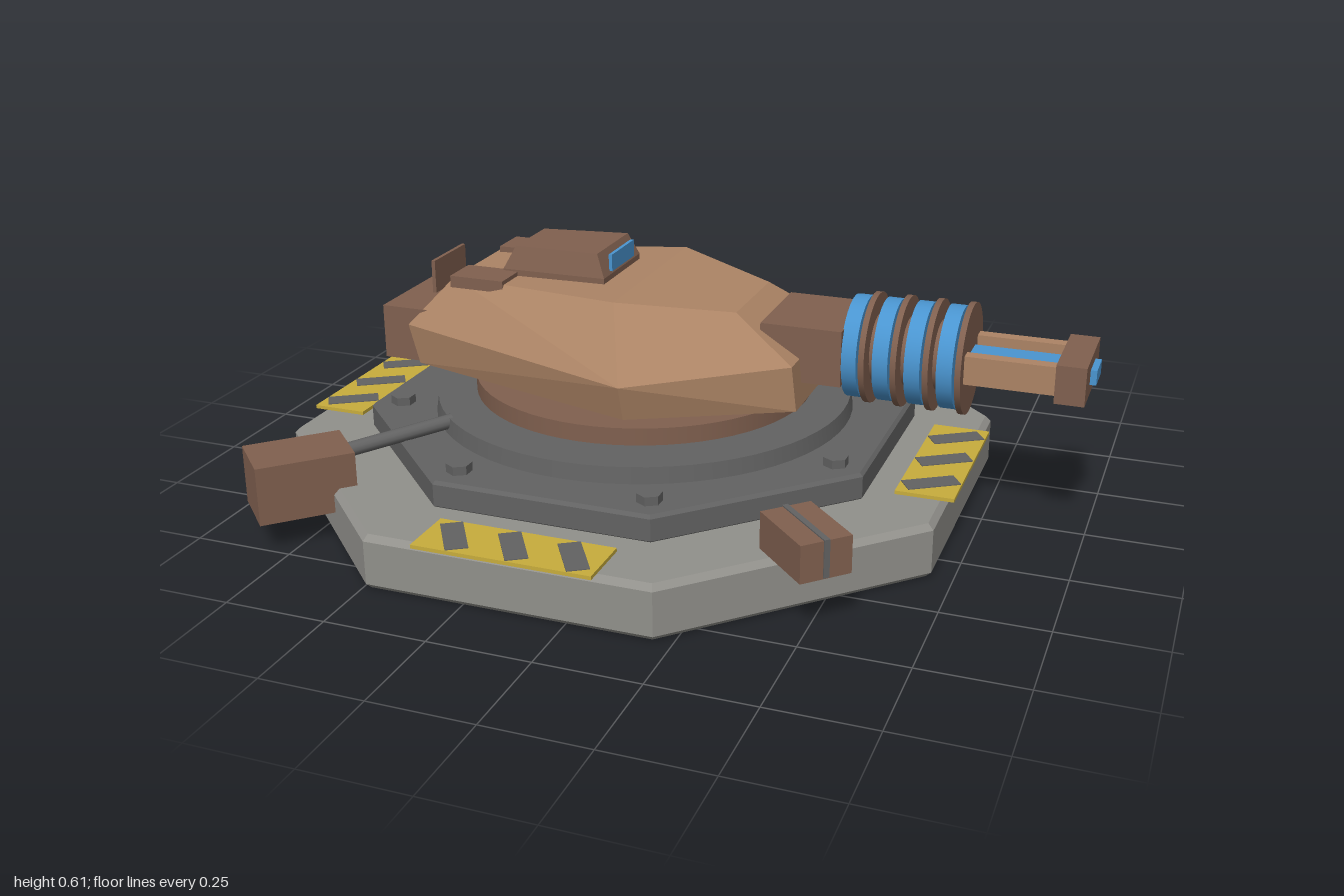
import * as THREE from 'three';
import { ConvexGeometry } from 'three/addons/geometries/ConvexGeometry.js';

const CX = -0.14; // turntable axis

export function createModel() {
  const model = new THREE.Group();
  model.name = 'turret';

  const mat = (name, color) => {
    const m = new THREE.MeshStandardMaterial({ color });
    m.name = name;
    return m;
  };
  const stone = mat('light grey', 0x91908b);
  const steel = mat('dark grey', 0x626262);
  const tan = mat('tan', 0xac8465);
  const brown = mat('brown', 0x80604f);
  const blue = mat('blue', 0x4a95d0);
  const yellow = mat('yellow', 0xc8ad3c);

  const add = (name, geo, m, x = 0, y = 0, z = 0, parent = model) => {
    const mesh = new THREE.Mesh(geo, m);
    mesh.name = name;
    mesh.position.set(x, y, z);
    parent.add(mesh);
    return mesh;
  };
  // box given by its limits on each axis
  const box = (name, m, [x0, x1], [y0, y1], [z0, z1], parent = model) =>
    add(name, new THREE.BoxGeometry(x1 - x0, y1 - y0, z1 - z0), m,
      (x0 + x1) / 2, (y0 + y1) / 2, (z0 + z1) / 2, parent);
  // disc along the barrel
  const disc = (name, m, x0, x1, r) =>
    add(name, new THREE.CylinderGeometry(r, r, x1 - x0, 32).rotateZ(Math.PI / 2), m, (x0 + x1) / 2, 0.417, 0);
  // arm group whose +x points outward from the turntable axis
  const arm = (name, angle) => {
    const g = new THREE.Group();
    g.name = name;
    g.position.x = CX;
    g.rotation.y = -angle;
    model.add(g);
    return g;
  };
  const hull = (points) => new ConvexGeometry(points.flatMap(([x, y, z]) =>
    [new THREE.Vector3(x, y, z), new THREE.Vector3(x, y, -z)]));

  // octagonal slabs with bevelled edges
  const octagon = (name, m, apothem, y0, y1, b) => {
    const shape = new THREE.Shape();
    const r = apothem / Math.cos(Math.PI / 8);
    for (let i = 0; i < 8; i++) {
      const a = Math.PI / 8 + i * Math.PI / 4;
      shape[i ? 'lineTo' : 'moveTo'](r * Math.cos(a), r * Math.sin(a));
    }
    const geo = new THREE.ExtrudeGeometry(shape, {
      depth: y1 - y0 - 2 * b, bevelEnabled: true, bevelSize: b, bevelThickness: b,
      bevelOffset: -b, bevelSegments: 1,
    });
    add(name, geo.translate(0, 0, b).rotateX(-Math.PI / 2), m, CX, y0, 0);
  };
  octagon('basePlate', stone, 0.84, 0, 0.135, 0.014);
  octagon('deckPlate', steel, 0.652, 0.13, 0.2, 0.008);
  add('bearingRing', new THREE.CylinderGeometry(0.53, 0.537, 0.045, 64), steel, CX, 0.2175, 0);
  add('turntable', new THREE.CylinderGeometry(0.432, 0.432, 0.043, 64), brown, CX, 0.2735, 0);

  // bolts on the deck corners
  const boltGeo = new THREE.CylinderGeometry(0.031, 0.031, 0.025, 6).toNonIndexed();
  boltGeo.computeVertexNormals();
  for (let i = 0; i < 8; i++) {
    const a = Math.PI / 8 + i * Math.PI / 4;
    add('bolt', boltGeo, steel, CX + 0.625 * Math.cos(a), 0.209, 0.625 * Math.sin(a));
  }

  // hazard plates on four sides
  for (let i = 0; i < 4; i++) {
    const g = new THREE.Group();
    g.name = 'hazardPlate';
    const a = i * Math.PI / 2;
    g.position.set(CX + 0.788 * Math.sin(a), 0.14, 0.788 * Math.cos(a));
    g.rotation.y = a;
    model.add(g);
    add('plate', new THREE.BoxGeometry(0.433, 0.009, 0.142), yellow, 0, 0, 0, g);
    for (const x of [-0.145, 0, 0.145]) {
      add('stripe', new THREE.BoxGeometry(0.052, 0.004, 0.132), steel, x, 0.0045, 0, g).rotation.y = 0.567;
    }
  }

  // corner clamps with a dark seam
  for (const a of [-0.75, -0.25, 0.25]) {
    const g = arm('clamp', a * Math.PI);
    box('clampBlock', brown, [0.777, 0.963], [0.135, 0.225], [-0.063, 0.063], g);
    box('clampSeam', steel, [0.774, 0.966], [0.138, 0.228], [-0.007, 0.007], g);
  }

  // power unit and its cable
  const unit = arm('powerUnit', 0.75 * Math.PI);
  box('powerBox', brown, [0.783, 1.018], [0.075, 0.22], [-0.077, 0.077], unit);
  const cable = new THREE.LineCurve3(new THREE.Vector3(0.8, 0.195, 0), new THREE.Vector3(0.52, 0.228, 0));
  add('cable', new THREE.TubeGeometry(cable, 1, 0.018, 12), steel, 0, 0, 0, unit);

  // faceted turret body
  add('turretBody', hull([
    [-0.69, 0.295, 0.19], [-0.712, 0.4, 0.2], [-0.6, 0.525, 0.15],
    [-0.05, 0.295, 0.37], [-0.05, 0.385, 0.398], [-0.12, 0.542, 0.25],
    [0.32, 0.295, 0.18], [0.31, 0.41, 0.19], [0.15, 0.51, 0.13],
  ]), tan);

  // rear housing, vents and fin
  box('rearHousing', brown, [-0.79, -0.66], [0.3, 0.44], [-0.188, 0.188]);
  for (const z of [-0.11, 0, 0.11]) {
    box('rearVent', blue, [-0.798, -0.789], [0.335, 0.415], [z - 0.034, z + 0.034]);
  }
  box('rearFin', brown, [-0.72, -0.71], [0.43, 0.527], [-0.12, 0.05]);
  for (const s of [-1, 1]) {
    add('roofTile', new THREE.BoxGeometry(0.145, 0.03, 0.1), brown, -0.517, 0.526, s * 0.14);
  }

  // cupola with a front window
  add('cupola', hull([
    [-0.485, 0.53, 0.1], [-0.2, 0.53, 0.118], [-0.485, 0.545, 0.1], [-0.2, 0.553, 0.118],
    [-0.455, 0.604, 0.085], [-0.225, 0.61, 0.1],
  ]), brown);
  box('cupolaWindow', blue, [-0.206, -0.197], [0.56, 0.603], [-0.072, 0.072]);

  // barrel mount and coil stack
  box('barrelMount', brown, [0.21, 0.412], [0.35, 0.49], [-0.127, 0.127]);
  disc('coilCore', brown, 0.4, 0.7, 0.085);
  for (let i = 0; i < 4; i++) {
    const x = 0.41 + i * 0.077;
    disc('coil', blue, x, x + 0.038, 0.126);
    disc('coilFlange', brown, x + 0.046, x + 0.06, 0.136);
  }

  // twin rails, energy bar and muzzle
  for (const s of [-1, 1]) {
    add('rail', new THREE.BoxGeometry(0.235, 0.07, 0.033), tan, 0.81, 0.42, s * 0.08);
  }
  box('energyBar', blue, [0.69, 0.93], [0.4, 0.44], [-0.037, 0.037]);
  box('muzzle', brown, [0.915, 0.985], [0.373, 0.467], [-0.115, 0.115]);
  box('muzzleLens', blue, [0.98, 1.0], [0.402, 0.438], [-0.042, 0.042]);

  return model;
}
